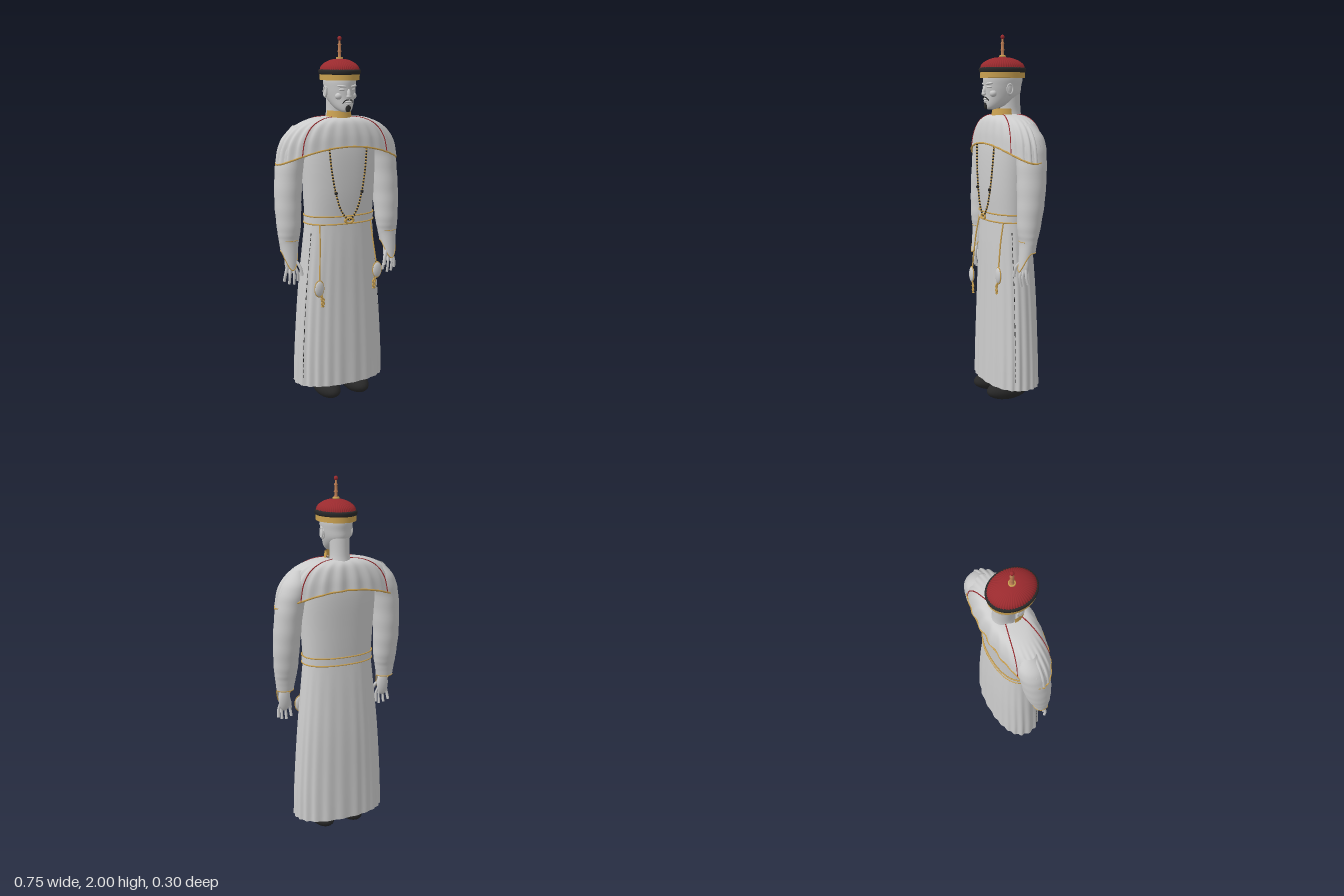
import * as THREE from 'three';

const mat = (name, color, side = THREE.FrontSide) => {
  const m = new THREE.MeshStandardMaterial({ color, side });
  m.name = name;
  return m;
};
const V = (x, y, z) => new THREE.Vector3(x, y, z);

// Smooth surface closed around u, open along v (v runs upwards)
function ringSurface(fn, nu, nv) {
  const pos = [], idx = [];
  for (let j = 0; j <= nv; j++)
    for (let i = 0; i < nu; i++) pos.push(...fn((i / nu) * Math.PI * 2, j / nv).toArray());
  for (let j = 0; j < nv; j++)
    for (let i = 0; i < nu; i++) {
      const k = (i + 1) % nu, a = j * nu + i, c = j * nu + k;
      idx.push(a, a + nu, c, a + nu, c + nu, c);
    }
  const g = new THREE.BufferGeometry();
  g.setAttribute('position', new THREE.Float32BufferAttribute(pos, 3));
  g.setIndex(idx);
  g.computeVertexNormals();
  return g;
}

// Rows of [y, centre x, centre z, half width, half depth] become a ring function
function rings(rows, { power = 1, ripple = () => 0 } = {}) {
  const centre = new THREE.CatmullRomCurve3(rows.map(r => V(r[1], r[0], r[2])), false, 'catmullrom', 0.5);
  const size = new THREE.CatmullRomCurve3(rows.map(r => V(r[3], 0, r[4])), false, 'catmullrom', 0.5);
  const p = n => Math.sign(n) * Math.abs(n) ** power;
  return (a, v) => {
    const c = centre.getPoint(v), s = size.getPoint(v), k = 1 + ripple(a, v);
    return V(c.x + s.x * k * p(Math.cos(a)), c.y, c.z + s.z * k * p(Math.sin(a)));
  };
}

export function createModel() {
  const model = new THREE.Group();
  model.name = 'robedFigure';
  const cloth = mat('pale cloth', 0xcccccc, THREE.DoubleSide);
  const skin = mat('pale skin', 0xcbcbcb);
  const gold = mat('gold trim', 0xc9a050);
  const red = mat('hat red', 0x9a2a2e);
  const black = mat('black', 0x282828);
  const rose = mat('rose stem', 0xc08055);

  const add = (name, geo, m, pos = [0, 0, 0], scale = [1, 1, 1], rot = [0, 0, 0]) => {
    const mesh = new THREE.Mesh(geo, m);
    mesh.name = name;
    mesh.position.set(...pos);
    mesh.scale.set(...scale);
    mesh.rotation.set(...rot);
    model.add(mesh);
    return mesh;
  };
  const ball = new THREE.SphereGeometry(1, 24, 16);
  const blob = (name, m, pos, scale, rot) => add(name, ball, m, pos, scale, rot);
  const cord = (name, pts, r, m, closed = false) => add(name,
    new THREE.TubeGeometry(new THREE.CatmullRomCurve3(pts, closed), closed ? 120 : 32, r, 6, closed), m);
  const around = (fn, v) => Array.from({ length: 60 }, (_, i) => fn(i / 60 * Math.PI * 2, v));

  // Robe: pleated skirt and plain bodice
  const skirt = rings([
    [0.095, 0, -0.004, 0.262, 0.142], [0.3, 0, -0.004, 0.256, 0.138], [0.6, 0, -0.004, 0.237, 0.131],
    [0.85, 0, 0, 0.213, 0.122], [1.02, 0, 0.003, 0.196, 0.112],
  ], { power: 0.88, ripple: (a, v) => 0.02 * (1 - v) * Math.cos(22 * a + Math.sin(3 * a)) });
  add('skirt', ringSurface(skirt, 176, 24), cloth);
  const bodice = rings([
    [1.02, 0, 0.003, 0.196, 0.112], [1.2, 0, 0.003, 0.206, 0.122], [1.4, 0, -0.004, 0.213, 0.123],
    [1.52, 0, -0.008, 0.19, 0.1], [1.57, 0, -0.01, 0.07, 0.06],
  ], { power: 0.88 });
  add('bodice', ringSurface(bodice, 64, 20), cloth);
  for (const a of [0.38, Math.PI - 0.38])
    for (let i = 0; i < 22; i++) {
      const v = 0.06 + i * 0.039;
      cord('sideSeamStitch', [skirt(a, v), skirt(a, v + 0.012), skirt(a, v + 0.024)], 0.002, black);
    }

  // Belt with gold edges
  const belt = rings([[1.008, 0, 0.003, 0.202, 0.119], [1.03, 0, 0.003, 0.202, 0.119],
    [1.05, 0, 0.003, 0.202, 0.119]], { power: 0.88 });
  add('belt', ringSurface(belt, 64, 2), cloth);
  for (const v of [0, 1]) cord('beltEdge', around(belt, v), 0.004, gold, true);

  // Shoulder cape: rows are front y, side y, half width, half depth
  const capeRows = [[1.425, 1.335, 0.36, 0.134], [1.49, 1.44, 0.335, 0.126], [1.545, 1.52, 0.27, 0.11],
    [1.57, 1.567, 0.17, 0.088], [1.577, 1.58, 0.065, 0.06]];
  const capeY = new THREE.CatmullRomCurve3(capeRows.map(r => V(r[0], r[1], 0)), false, 'catmullrom', 0.5);
  const capeR = new THREE.CatmullRomCurve3(capeRows.map(r => V(r[2], r[3], 0)), false, 'catmullrom', 0.5);
  const cape = (a, v) => {
    const y = capeY.getPoint(v), r = capeR.getPoint(v), c = Math.cos(a), s = Math.sin(a);
    const fold = 1 + 0.018 * Math.sin(Math.PI * Math.min(1, v + 0.25)) * Math.cos(26 * a);
    const wave = s < 0 ? 0.03 * s * s * (1 - v) * Math.cos(22 * a) : 0;
    return V(r.x * c * fold, y.x + (y.y - y.x) * c * c, -0.006 + r.y * s * (fold + wave));
  };
  add('cape', ringSurface(cape, 156, 20), cloth);
  cord('capeHem', around(cape, 0), 0.005, gold, true);
  for (const a of [0.25, 0.75, 1.25, 1.75])
    cord('capePiping', Array.from({ length: 10 }, (_, i) => cape(a * Math.PI, i / 9)), 0.003, red);

  // Arms: puffed sleeves, pointed cuffs and hands
  for (const s of [-1, 1]) {
    const sleeve = rings([
      [1.535, 0.23 * s, -0.02, 0.03, 0.035], [1.45, 0.255 * s, -0.02, 0.074, 0.078],
      [1.33, 0.285 * s, -0.015, 0.075, 0.08], [1.15, 0.3 * s, -0.005, 0.073, 0.073],
      [1.0, 0.302 * s, 0.008, 0.066, 0.06], [0.93, 0.304 * s, 0.013, 0.057, 0.046],
      [0.87, 0.306 * s, 0.015, 0.047, 0.038],
    ].reverse(), { ripple: (a, v) => 0.012 * Math.sin(60 * v) * Math.sin(Math.PI * v) });
    const cuffed = (a, v) => {
      const p = sleeve(a, v), drop = Math.max(0, 1 - v * 8) * Math.max(0, Math.sin(a)) ** 2;
      p.y -= 0.1 * drop;
      p.z += 0.015 * drop;
      return p;
    };
    add('sleeve', ringSurface(cuffed, 40, 48), cloth);
    cord('cuffEdge', around(cuffed, 0), 0.003, gold, true);
    cord('cuffSeam', [0.9, 1.25, 1.57, 1.9, 2.24].map(a => sleeve(a, 0.16)), 0.002, gold);

    blob('palm', skin, [0.305 * s, 0.81, 0.032], [0.034, 0.07, 0.019]);
    [[-0.036, 0.70, 0.045], [-0.013, 0.685, 0.052], [0.011, 0.69, 0.05], [0.033, 0.705, 0.04]].forEach(([x, y, z]) =>
      cord('finger', [V((0.305 + x * 0.6) * s, 0.79, 0.035), V((0.305 + x) * s, 0.745, z), V((0.305 + x * 1.15) * s, y, z - 0.008)], 0.008, skin));
    cord('thumb', [V(0.29 * s, 0.83, 0.04), V(0.262 * s, 0.78, 0.065), V(0.255 * s, 0.735, 0.072)], 0.009, skin);
  }

  // Head and neck
  add('neck', ringSurface(rings([[1.55, 0, -0.035, 0.062, 0.062], [1.6, 0, -0.032, 0.052, 0.056],
    [1.7, 0, -0.025, 0.055, 0.06]]), 32, 8), skin);
  add('head', ringSurface(rings([
    [1.604, 0, 0.085, 0.004, 0.005], [1.61, 0, 0.08, 0.028, 0.034], [1.635, 0, 0.052, 0.05, 0.068],
    [1.68, 0, 0.02, 0.068, 0.1], [1.73, 0, 0.016, 0.078, 0.107], [1.78, 0, 0.013, 0.081, 0.111],
    [1.84, 0, 0.013, 0.06, 0.085],
  ]), 48, 28), skin);
  blob('nose', skin, [0, 1.703, 0.123], [0.011, 0.027, 0.013], [-0.25, 0, 0]);
  blob('noseTip', skin, [0, 1.688, 0.127], [0.016, 0.01, 0.012]);
  blob('upperLip', skin, [0, 1.66, 0.115], [0.022, 0.006, 0.012]);
  blob('lowerLip', skin, [0, 1.648, 0.111], [0.02, 0.006, 0.014]);
  blob('chin', skin, [0, 1.622, 0.098], [0.024, 0.016, 0.02]);
  for (const s of [-1, 1]) {
    blob('brow', skin, [0.033 * s, 1.742, 0.11], [0.026, 0.007, 0.011], [0, 0.4 * s, 0.1 * s]);
    blob('eye', skin, [0.032 * s, 1.724, 0.108], [0.018, 0.007, 0.01], [0, 0.4 * s, 0]);
    blob('cheek', skin, [0.038 * s, 1.69, 0.088], [0.024, 0.02, 0.02]);
    blob('ear', skin, [0.08 * s, 1.708, 0.012], [0.009, 0.032, 0.019], [0.15, 0.25 * s, 0]);
    add('earRim', new THREE.TorusGeometry(0.017, 0.004, 8, 20), skin,
      [0.086 * s, 1.713, 0.012], [1, 1.5, 1], [0, Math.PI / 2, 0]);
    cord('moustache', [V(0.004 * s, 1.672, 0.126), V(0.018 * s, 1.668, 0.121), V(0.028 * s, 1.652, 0.107)], 0.003, black);
  }
  blob('goatee', black, [0, 1.627, 0.114], [0.016, 0.021, 0.01]);

  // Gold collar, open at the back of the neck
  const collarGold = new THREE.CylinderGeometry(0.064, 0.072, 0.042, 40, 1, true, -Math.PI * 0.55, Math.PI * 1.1);
  const goldSheet = mat('gold collar', 0xc9a050, THREE.DoubleSide);
  add('collar', collarGold, goldSheet, [0, 1.59, 0.004]);

  // Hat: gold band, black brim, ribbed red crown
  add('hatBand', new THREE.CylinderGeometry(1, 1, 0.03, 64), gold, [0, 1.787, 0.015], [0.102, 1, 0.126]);
  add('hatBrim', ringSurface(rings([[1.8, 0, 0.015, 0.1, 0.124], [1.806, 0, 0.015, 0.107, 0.13],
    [1.822, 0, 0.015, 0.108, 0.131], [1.828, 0, 0.015, 0.098, 0.121]]), 64, 12), black);
  add('hatCrown', ringSurface(rings([
    [1.82, 0, 0.015, 0.101, 0.124], [1.845, 0, 0.015, 0.092, 0.114], [1.866, 0, 0.015, 0.068, 0.084],
    [1.879, 0, 0.015, 0.036, 0.044], [1.883, 0, 0.015, 0.002, 0.002],
  ], { ripple: (a, v) => 0.02 * Math.cos(56 * a) }), 224, 16), red);

  // Finial
  const stem = [[0.018, 1.875], [0.018, 1.885], [0.009, 1.892], [0.008, 1.915], [0.012, 1.92], [0.008, 1.926],
    [0.007, 1.95], [0.011, 1.956], [0.006, 1.962], [0.005, 1.98]];
  add('finialStem', new THREE.LatheGeometry(stem.map(p => new THREE.Vector2(...p)), 20), rose, [0, 0, 0.015]);
  add('finialBase', new THREE.TorusGeometry(0.015, 0.004, 8, 24), gold, [0, 1.888, 0.015], [1, 1, 1], [Math.PI / 2, 0, 0]);
  blob('finialBead', red, [0, 1.988, 0.015], [0.011, 0.012, 0.011]);

  // Bead necklace
  const necklace = new THREE.CatmullRomCurve3([V(-0.112, 1.42, 0.118), V(-0.1, 1.3, 0.123), V(-0.078, 1.18, 0.127),
    V(-0.045, 1.08, 0.13), V(0, 1.03, 0.132), V(0.045, 1.08, 0.13), V(0.078, 1.18, 0.127), V(0.1, 1.3, 0.123), V(0.112, 1.42, 0.118)]);
  const bead = new THREE.SphereGeometry(0.0055, 8, 6);
  necklace.getSpacedPoints(100).forEach((p, i) => add('necklaceBead', bead, i % 2 ? black : gold, p.toArray()));
  for (const s of [-1, 1]) blob('largeBead', black, [0.078 * s, 1.18, 0.13], [0.009, 0.009, 0.009]);
  add('necklaceClasp', new THREE.TorusGeometry(0.017, 0.006, 8, 20), gold, [0, 1.027, 0.132], [1.4, 0.8, 1]);

  // Hanging pouches with tassels
  for (const [s, y] of [[-1, 0.665], [1, 0.73]]) {
    const x = 0.178 * s;
    cord('pouchCord', [V(0.155 * s, 1.01, 0.085), V(0.162 * s, 0.9, 0.105), V(x * 0.98, y + 0.045, 0.122)], 0.004, gold);
    blob('pouch', cloth, [x, y, 0.125], [0.027, 0.043, 0.013]);
    add('pouchRim', new THREE.TorusGeometry(0.027, 0.003, 8, 32), gold, [x, y, 0.125], [1, 1.6, 1]);
    for (const d of [-0.007, 0.007])
      cord('tassel', [V(x + d - 0.01 * s, y - 0.04, 0.125), V(0.158 * s - d, y - 0.065, 0.127),
        V(0.158 * s + d, y - 0.085, 0.127), V(0.158 * s - d, y - 0.105, 0.125)], 0.005, gold);
  }

  // Shoes
  for (const s of [-1, 1]) blob('shoe', black, [0.09 * s, 0.053, 0.03], [0.066, 0.053, 0.122]);

  return model;
}
